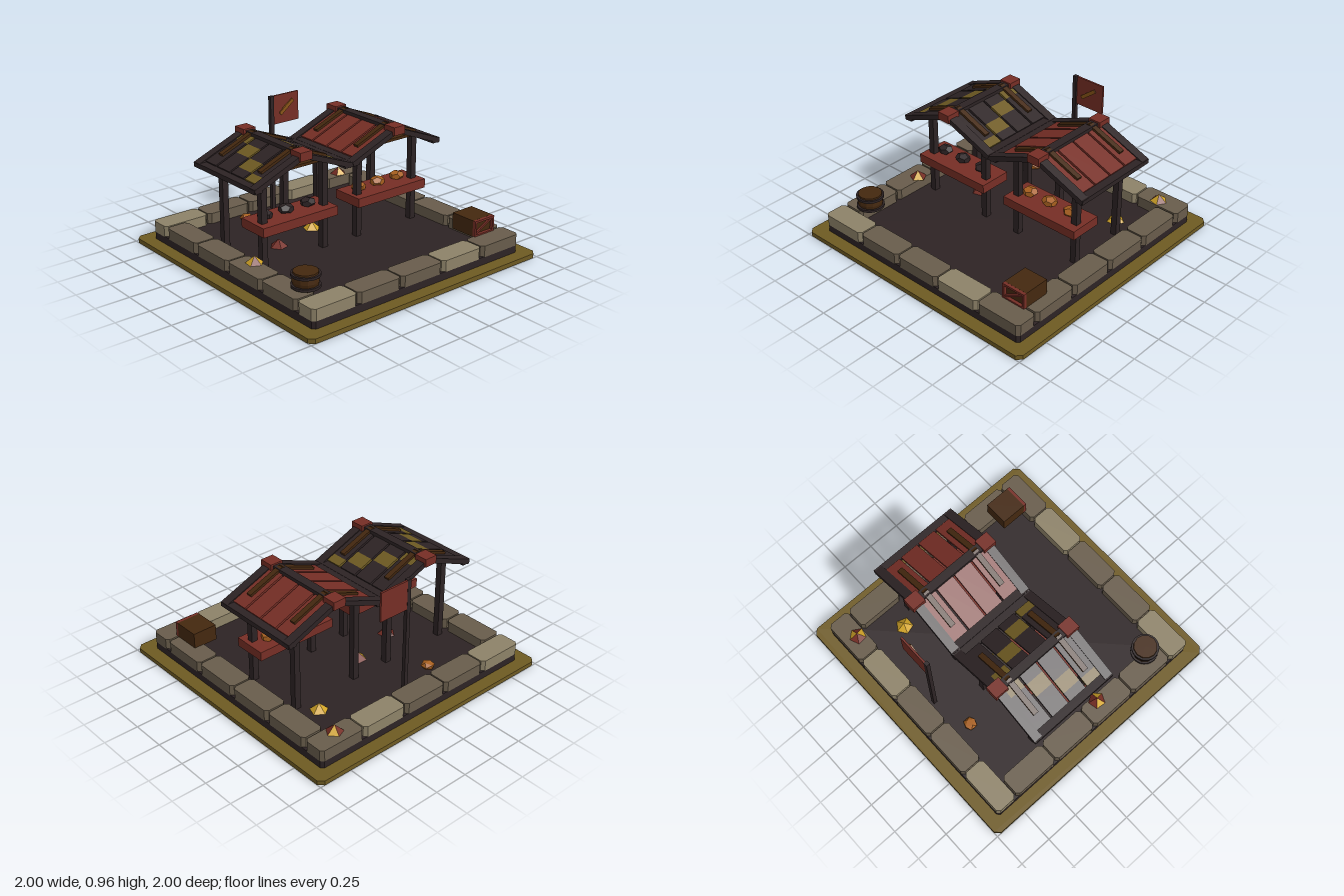
import * as THREE from 'three';

const mat = (name, color) => {
  const m = new THREE.MeshStandardMaterial({ color });
  m.name = name;
  return m;
};

export function createModel() {
  const root = new THREE.Group();
  root.name = 'marketStalls';
  const olive = mat('olive', 0x6e5a22), dark = mat('darkTimber', 0x2d2324), red = mat('red', 0x762e25);
  const stoneLight = mat('lightStone', 0x8d8268), stoneDark = mat('darkStone', 0x685c4b);
  const wood = mat('brownWood', 0x44280f), orange = mat('orange', 0xa8601f), gold = mat('gold', 0xd2a428);
  const ochre = mat('ochre', 0x8a5518);
  for (const m of [orange, gold, red, dark]) m.side = THREE.FrontSide;

  const add = (parent, name, geo, m, x = 0, y = 0, z = 0) => {
    const mesh = new THREE.Mesh(geo, m);
    mesh.name = name;
    mesh.position.set(x, y, z);
    parent.add(mesh);
    return mesh;
  };
  const box = (parent, name, w, h, d, m, x, y, z) =>
    add(parent, name, new THREE.BoxGeometry(w, h, d), m, x, y, z);

  // Slab with cut corners in plan, standing on y
  const slab = (name, w, d, h, c, m, x, y, z) => {
    const a = w / 2, b = d / 2;
    const pts = [[a - c, -b], [a, -b + c], [a, b - c], [a - c, b], [-a + c, b], [-a, b - c], [-a, -b + c], [-a + c, -b]];
    const shape = new THREE.Shape(pts.map(p => new THREE.Vector2(...p)));
    const geo = new THREE.ExtrudeGeometry(shape, { depth: h, bevelEnabled: false }).rotateX(-Math.PI / 2);
    return add(root, name, geo, m, x, y, z);
  };

  // Ground and paved floor
  slab('groundSlab', 2, 2, 0.033, 0.035, olive, 0, 0, 0);
  slab('floor', 1.81, 1.81, 0.057, 0.02, dark, 0, 0.033, 0);

  // Border stones
  for (const s of [-1, 1]) {
    for (let i = 0; i < 5; i++)
      slab('borderStone', 0.355, 0.165, 0.082, 0.022, i % 3 ? stoneDark : stoneLight, (i - 2) * 0.3645, 0.086, s * 0.824);
    for (let i = 0; i < 4; i++)
      slab('borderStone', 0.165, 0.355, 0.082, 0.022, stoneDark, s * 0.824, 0.086, (i - 1.5) * 0.3665);
  }

  // Market stalls
  const SLOPE = 0.395, RIDGE = 0.842, MID = -0.145;
  const makeStall = (name, cx, goodsMat, checkered) => {
    const stall = new THREE.Group();
    stall.name = name;
    stall.position.x = cx;
    root.add(stall);

    // Piece lying along a roof slope, from offset a to b away from the ridge
    const slopePiece = (part, s, a, b, h, d, m, z, lift = 0) => {
      const mid = (a + b) / 2;
      const p = box(stall, part, (b - a) * Math.hypot(1, SLOPE), h, d, m, s * mid, RIDGE - SLOPE * mid + lift, z);
      p.rotation.z = -s * Math.atan(SLOPE);
    };

    for (const z of [0.073, -0.366]) {
      for (const s of [-1, 1]) {
        box(stall, 'post', 0.046, 0.64, 0.046, dark, s * 0.256, 0.4, z);
        slopePiece('roofBatten', s, 0.0, 0.27, 0.018, 0.04, wood, z, 0.021);
      }
      box(stall, 'tieBeam', 0.49, 0.02, 0.036, wood, 0, 0.732, z);
    }
    for (const s of [-1, 1]) {
      for (const t of [-1, 1])
        slopePiece('rafter', s, 0, 0.4, 0.036, 0.065, dark, MID + t * 0.315);
      box(stall, 'eaveBeam', 0.062, 0.034, 0.69, dark, s * 0.375, 0.688, MID);
      for (let row = 0; row < 4; row++) {
        const z = MID + (row - 1.5) * 0.155;
        if (!checkered) slopePiece('roofPlank', s, 0, 0.347, 0.022, 0.14, red, z);
        else for (let i = 0; i < 4; i++)
          slopePiece('roofShingle', s, i * 0.095, Math.min((i + 1) * 0.095, 0.347), 0.022, 0.14, i === row ? olive : dark, z);
      }
    }
    box(stall, 'ridgeBeam', 0.064, 0.036, 0.62, dark, 0, 0.847, MID);
    for (const t of [-1, 1])
      box(stall, 'ridgeCap', 0.098, 0.06, 0.104, red, 0, 0.846, MID + t * 0.313);

    // Counter and goods
    box(stall, 'counter', 0.625, 0.066, 0.245, red, 0, 0.368, 0.038);
    [-0.195, -0.02, 0.165].forEach((x, i) => {
      const geo = new THREE.DodecahedronGeometry(0.058, 0).rotateY(i * 0.9).scale(1, 0.62, 0.9);
      add(stall, 'goods', geo, goodsMat, x, 0.424, 0.018);
    });
  };
  makeStall('rightStall', -0.407, dark, true);
  makeStall('leftStall', 0.407, orange, false);

  // Banner on a pole
  box(root, 'bannerPole', 0.03, 0.868, 0.028, dark, -0.002, 0.522, -0.7);
  box(root, 'banner', 0.23, 0.216, 0.014, red, 0.128, 0.845, -0.706);
  const stripe = box(root, 'bannerStripe', 0.145, 0.027, 0.009, ochre, 0.126, 0.857, -0.686);
  stripe.rotation.z = 0.66;
  box(root, 'bannerStripeBacking', 0.05, 0.02, 0.012, ochre, 0.126, 0.857, -0.695).rotation.z = 0.66;

  // Barrel
  const barrel = new THREE.Group();
  barrel.name = 'barrel';
  barrel.position.set(-0.745, 0.165, 0.63);
  root.add(barrel);
  const profile = [[0, 0], [0.078, 0], [0.09, 0.055], [0.084, 0.12], [0, 0.12]].map(p => new THREE.Vector2(...p));
  const barrelGeo = new THREE.LatheGeometry(profile, 12).toNonIndexed();
  barrelGeo.computeVertexNormals();
  add(barrel, 'barrelBody', barrelGeo, wood);
  const ringShape = new THREE.Shape().absarc(0, 0, 0.098, 0, Math.PI * 2);
  ringShape.holes.push(new THREE.Path().absarc(0, 0, 0.082, 0, Math.PI * 2, true));
  const ringGeo = new THREE.ExtrudeGeometry(ringShape, { depth: 0.018, bevelEnabled: false, curveSegments: 12 }).rotateX(-Math.PI / 2);
  for (const y of [0.014, 0.09]) add(barrel, 'barrelHoop', ringGeo, dark, 0, y, 0);

  // Crate with a braced front
  const crate = new THREE.Group();
  crate.name = 'crate';
  crate.position.set(0.724, 0.222, 0.635);
  root.add(crate);
  box(crate, 'crateBody', 0.185, 0.118, 0.195, wood);
  for (const s of [-1, 1]) {
    box(crate, 'crateRail', 0.185, 0.015, 0.024, red, 0, s * 0.051, 0.109);
    box(crate, 'crateStile', 0.015, 0.11, 0.024, red, s * 0.085, 0, 0.109);
  }
  box(crate, 'crateBrace', 0.185, 0.014, 0.016, red, 0, 0, 0.105).rotation.z = 0.49;

  // Small faceted heaps, with chosen faces in gold
  const heap = (x, y, z, goldFaces, turn) => {
    const geo = new THREE.ConeGeometry(0.064, 0.056, 5, 1).toNonIndexed().rotateY(turn);
    geo.computeVertexNormals();
    const sides = geo.attributes.position.count / 3 - 5;
    geo.clearGroups();
    for (let i = 0; i < sides + 5; i++)
      geo.addGroup(i * 3, 3, goldFaces.includes(i % 5) ? 1 : 0);
    add(root, 'heap', geo, [red, gold], x, y + 0.028, z);
  };
  heap(0.71, 0.166, -0.8, [1, 4], 0.4);
  heap(-0.78, 0.166, 0.135, [0, 3], 0.2);
  heap(0.57, 0.09, -0.49, [0, 1, 2, 3, 4], 0.6);
  heap(-0.02, 0.09, -0.22, [0, 1, 3, 4], 0);
  heap(-0.39, 0.09, -0.12, [], 0.9);

  // Fallen fruit on the floor
  add(root, 'fallenFruit', new THREE.IcosahedronGeometry(0.05, 0).scale(1, 0.6, 1), orange, -0.3, 0.118, -0.625);

  return root;
}
